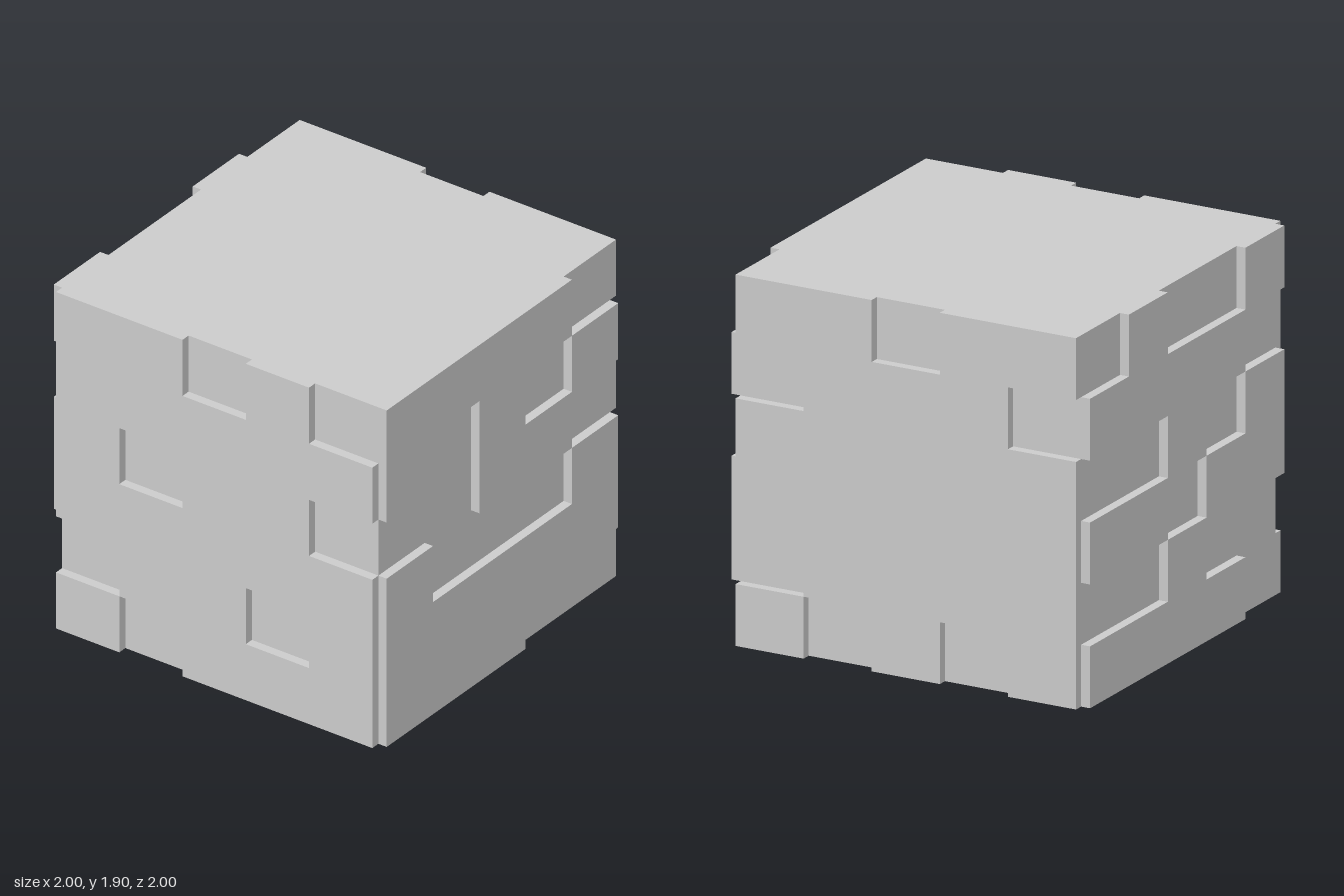
import * as THREE from 'three';

const CORE = 1.9, HEIGHT = 1.905, DEPTH = 0.05;
const COLS = 5, ROWS = 6;

// Each side as seen from outside, top row first: '#' is raised, '.' is recessed.
const SIDES = [
  { name: 'frontPanel', turn: 0, map: ['##.#.', '#####', '#.##.', '#####', '.##.#', '#.###'] },
  { name: 'plusXPanel', turn: 1, map: ['####.', '#.#.#', '..##.', '#...#', '#####', '###..'] },
  { name: 'backPanel', turn: 2, map: ['##.##', '.###.', '#####', '.####', '.####', '#.#.#'] },
  { name: 'minusXPanel', turn: 3, map: ['.#..#', '####.', '..#.#', '##.##', '..#..', '####.'] },
];

// Stepped relief: one quad per cell, plus walls where a raised cell meets a lower one.
function panelGeometry(map) {
  const pos = [];
  const quad = (a, b, c, d) => pos.push(...a, ...b, ...c, ...a, ...c, ...d);
  const raised = (c, r) => map[ROWS - 1 - r]?.[c] === '#';
  const w = CORE / COLS, h = HEIGHT / ROWS;

  for (let r = 0; r < ROWS; r++) {
    for (let c = 0; c < COLS; c++) {
      const x0 = c * w - CORE / 2, x1 = x0 + w, y0 = r * h, y1 = y0 + h;
      const corners = [[x0, y0], [x1, y0], [x1, y1], [x0, y1]];
      const z = raised(c, r) ? DEPTH : 0;
      quad(...corners.map(p => [...p, z]));
      if (!z) continue;
      // neighbours below, right, above, left match the corner order
      [[0, -1], [1, 0], [0, 1], [-1, 0]].forEach(([dc, dr], i) => {
        if (raised(c + dc, r + dr)) return;
        const p = corners[i], q = corners[(i + 1) % 4];
        quad([...p, z], [...p, 0], [...q, 0], [...q, z]);
      });
    }
  }
  const geo = new THREE.BufferGeometry();
  geo.setAttribute('position', new THREE.Float32BufferAttribute(pos, 3));
  geo.computeVertexNormals();
  return geo;
}

export function createModel() {
  const group = new THREE.Group();
  group.name = 'interlockingBlock';
  const material = new THREE.MeshStandardMaterial({ color: 0xcccccc, flatShading: true });

  // four relief sides around the block
  for (const { name, turn, map } of SIDES) {
    const panel = new THREE.Mesh(panelGeometry(map).translate(0, 0, CORE / 2), material);
    panel.name = name;
    panel.rotation.y = turn * Math.PI / 2;
    group.add(panel);
  }

  // flat top and bottom
  for (const [name, y, tilt] of [['topFace', HEIGHT, -1], ['bottomFace', 0, 1]]) {
    const cap = new THREE.Mesh(new THREE.PlaneGeometry(CORE, CORE), material);
    cap.name = name;
    cap.position.y = y;
    cap.rotation.x = tilt * Math.PI / 2;
    group.add(cap);
  }
  return group;
}
